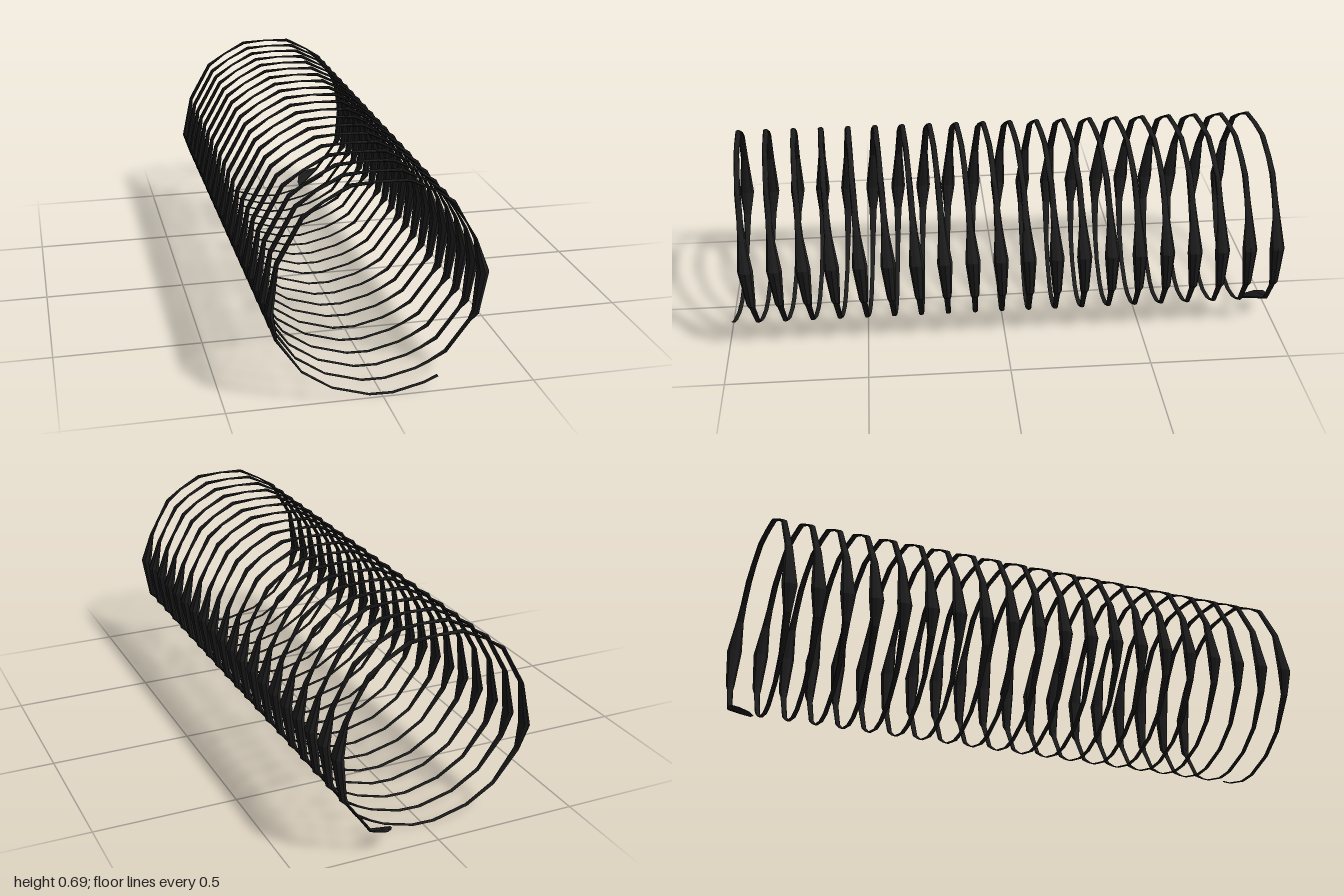
import * as THREE from 'three';

const TURNS = 20, PITCH = 0.0985, Z_START = 0.99, CENTRE_Y = 0.35, SIDES = 8;

// One turn of the coil, clockwise from the front: x, y, radial thickness, width along z
const TURN = [
  [0.18, 0.05, 0.005, 0.016], [0.135, 0.029, 0.004, 0.016], [0.035, 0.003, 0.004, 0.016],
  [-0.04, 0.003, 0.004, 0.016], [-0.16, 0.037, 0.004, 0.016], [-0.255, 0.1, 0.006, 0.018],
  [-0.335, 0.215, 0.01, 0.028], [-0.355, 0.305, 0.03, 0.054], [-0.328, 0.46, 0.014, 0.028],
  [-0.247, 0.6, 0.014, 0.022], [-0.18, 0.645, 0.005, 0.02], [-0.095, 0.688, 0.012, 0.02],
  [0, 0.693, 0.004, 0.02], [0.095, 0.688, 0.013, 0.02], [0.18, 0.645, 0.006, 0.02],
  [0.237, 0.603, 0.014, 0.022], [0.285, 0.525, 0.006, 0.022], [0.315, 0.47, 0.012, 0.028],
  [0.345, 0.36, 0.04, 0.054], [0.328, 0.215, 0.026, 0.032], [0.31, 0.188, 0.008, 0.022],
  [0.235, 0.083, 0.01, 0.018],
];

// Lofts a closed wire through rings given as { centre, u, v } (u and v are half axes)
function loft(rings) {
  const pos = [], idx = [];
  for (const { centre, u, v } of rings) {
    for (let j = 0; j < SIDES; j++) {
      const a = (j / SIDES) * Math.PI * 2;
      const p = centre.clone().addScaledVector(u, Math.cos(a)).addScaledVector(v, Math.sin(a));
      pos.push(p.x, p.y, p.z);
    }
  }
  const last = (rings.length - 1) * SIDES;
  for (let i = 0; i < last; i += SIDES) {
    for (let j = 0; j < SIDES; j++) {
      const k = (j + 1) % SIDES;
      idx.push(i + j, i + k, i + SIDES + j, i + k, i + SIDES + k, i + SIDES + j);
    }
  }
  // End caps
  for (let j = 1; j < SIDES - 1; j++) {
    idx.push(0, j + 1, j, last, last + j, last + j + 1);
  }
  const geo = new THREE.BufferGeometry();
  geo.setAttribute('position', new THREE.Float32BufferAttribute(pos, 3));
  geo.setIndex(idx);
  geo.computeVertexNormals();
  return geo;
}

export function createModel() {
  const group = new THREE.Group();
  group.name = 'coilSpring';

  // Helix rings: the wire advances toward the back in proportion to its angle
  const angleOf = ([x, y]) => Math.atan2(y - CENTRE_Y, x);
  const startAngle = angleOf(TURN[0]);
  const rings = [];
  for (let t = 0; t < TURNS; t++) {
    for (const s of TURN) {
      const [x, y, thick, width] = s;
      const angle = angleOf(s);
      const swept = (startAngle - angle + Math.PI * 4) % (Math.PI * 2);
      const z = Z_START - PITCH * (t + swept / (Math.PI * 2));
      rings.push({
        centre: new THREE.Vector3(x, y, z),
        u: new THREE.Vector3(Math.cos(angle), Math.sin(angle), 0).multiplyScalar(thick / 2),
        v: new THREE.Vector3(0, 0, width / 2),
      });
    }
  }

  // Flared, skewed tip at the back end
  rings.push({
    centre: new THREE.Vector3(0.16, 0.052, -0.95),
    u: new THREE.Vector3(0.013, -0.008, 0.006),
    v: new THREE.Vector3(-0.02, -0.02, 0.043),
  });

  const material = new THREE.MeshStandardMaterial({ color: 0x1c1c1c, flatShading: true });
  const wire = new THREE.Mesh(loft(rings), material);
  wire.name = 'springWire';
  group.add(wire);
  return group;
}
